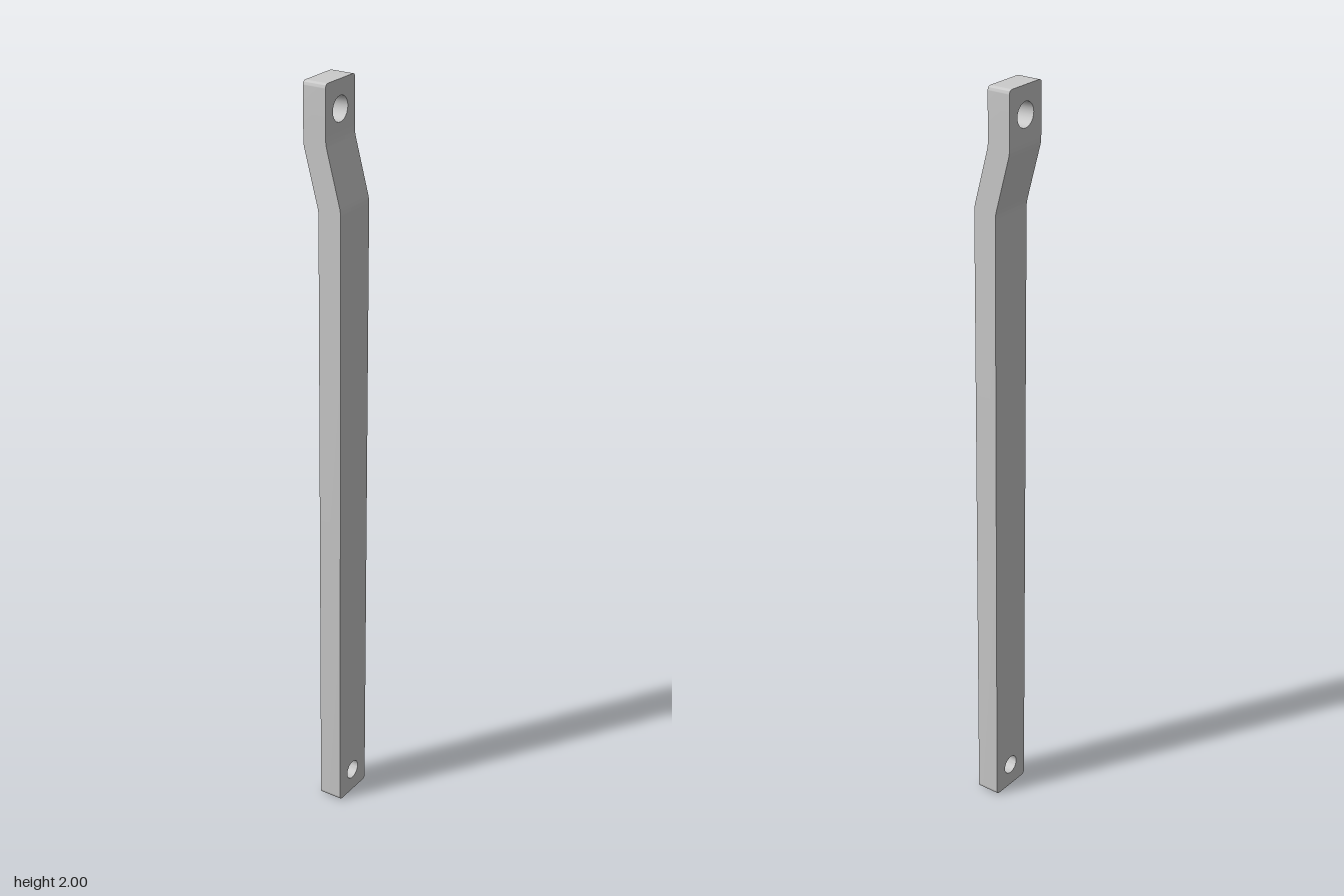
import * as THREE from 'three';
import { mergeGeometries, toCreasedNormals } from 'three/addons/utils/BufferGeometryUtils.js';

const W = 0.125, T = 0.063;            // bar width and thickness
const LOW_X = -0.0105, TOP_X = -0.0525; // left face of the lower and upper runs
const Y0 = 1.66, Y1 = 1.88;            // where the offset section joins the straight runs

function extrude(shape, depth) {
  return new THREE.ExtrudeGeometry(shape, { depth, bevelEnabled: false, curveSegments: 12 });
}

// Straight run from a joint to a rounded end, with a round hole near that end
function plate(yJoint, yEnd, x, holeY, holeR) {
  const h = W / 2, r = 0.011, yr = yEnd - Math.sign(yEnd - yJoint) * r;
  const s = new THREE.Shape();
  s.moveTo(-h, yJoint);
  s.lineTo(h, yJoint);
  s.lineTo(h, yr);
  s.quadraticCurveTo(h, yEnd, h - r, yEnd);
  s.lineTo(-h + r, yEnd);
  s.quadraticCurveTo(-h, yEnd, -h, yr);
  s.closePath();
  const hole = new THREE.Path();
  hole.absarc(0, holeY, holeR, 0, Math.PI * 2);
  s.holes.push(hole);
  return extrude(s, T).rotateY(Math.PI / 2).translate(x, 0, 0);
}

// Offset section: side profile with softly rounded bends
function offsetBend() {
  const f = 0.012, dx = TOP_X - LOW_X;
  const s = new THREE.Shape();
  const a = 1.698, b = 1.857, m = dx / (b - a) * f;  // right-hand bends
  const drop = 0.009;                                // left-hand bends sit lower
  const xr = LOW_X + T, xt = TOP_X + T;
  s.moveTo(xr, Y0);
  s.lineTo(xr, a - f);
  s.quadraticCurveTo(xr, a, xr + m, a + f);
  s.lineTo(xt - m, b - f);
  s.quadraticCurveTo(xt, b, xt, b + f);
  s.lineTo(xt, Y1);
  s.lineTo(TOP_X, Y1);
  s.lineTo(TOP_X, b - drop + f);
  s.quadraticCurveTo(TOP_X, b - drop, TOP_X - m, b - drop - f);
  s.lineTo(LOW_X + m, a - drop + f);
  s.quadraticCurveTo(LOW_X, a - drop, LOW_X, a - drop - f);
  s.lineTo(LOW_X, Y0);
  s.closePath();
  return extrude(s, W).translate(0, 0, -W / 2);
}

// Remove the hidden faces lying in the joints
function withoutJointFaces(geometry) {
  const p = geometry.attributes.position, kept = [];
  for (let i = 0; i < p.count; i += 3) {
    const hidden = [Y0, Y1].some(y => [0, 1, 2].every(k => Math.abs(p.getY(i + k) - y) < 1e-5));
    if (!hidden) for (let k = 0; k < 3; k++) kept.push(p.getX(i + k), p.getY(i + k), p.getZ(i + k));
  }
  return new THREE.BufferGeometry().setAttribute('position', new THREE.Float32BufferAttribute(kept, 3));
}

export function createModel() {
  const parts = [
    plate(Y0, 0, LOW_X, 0.065, 0.026),
    offsetBend(),
    plate(Y1, 2, TOP_X, 1.928, 0.032),
  ].map(withoutJointFaces);

  const bar = new THREE.Mesh(
    toCreasedNormals(mergeGeometries(parts), 0.5),
    new THREE.MeshStandardMaterial({ color: 0xcccccc })
  );
  bar.name = 'offsetLinkBar';

  const group = new THREE.Group();
  group.name = 'linkArm';
  group.add(bar);
  return group;
}
